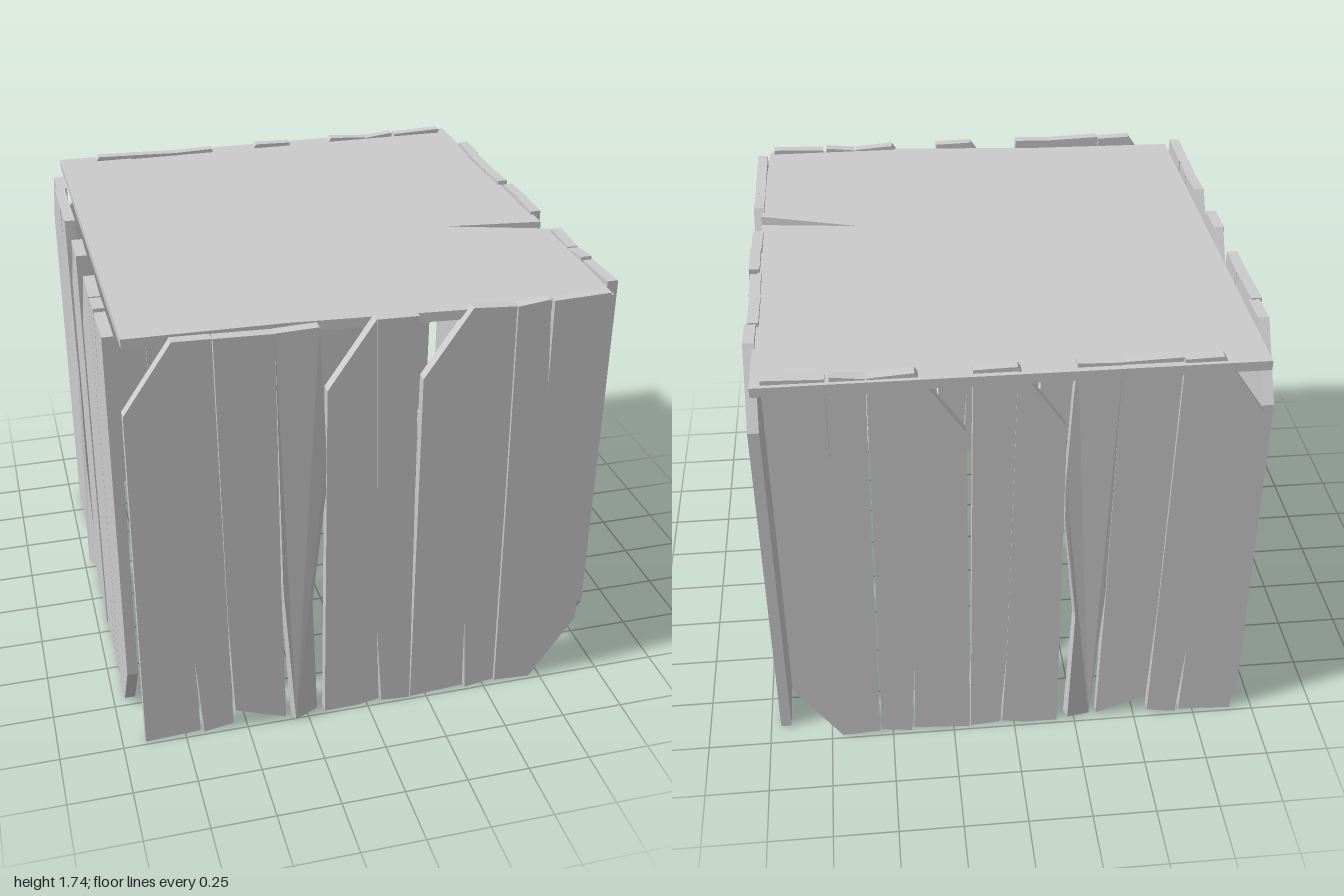
import * as THREE from 'three';

const material = new THREE.MeshStandardMaterial({ color: 0xcccccc, flatShading: true });

// Flat board cut from an outline, centred on its thickness
function board(name, points, thickness) {
  const shape = new THREE.Shape(points.map(([x, y]) => new THREE.Vector2(x, y)));
  const geometry = new THREE.ExtrudeGeometry(shape, { depth: thickness, bevelEnabled: false });
  geometry.translate(0, 0, -thickness / 2);
  const mesh = new THREE.Mesh(geometry, material);
  mesh.name = name;
  return mesh;
}

// Plank outlines (x, y) with their splits and sawn corners; z is the offset from the wall plane
const planks = [
  { name: 'outerPlank', z: 0, points: [
    [-0.91, 0], [-0.69, 0.012], [-0.7, 0.36], [-0.675, 0], [-0.556, 0.02],
    [-0.567, 0.55], [-0.59, 1.738], [-0.73, 1.742], [-0.91, 1.475]] },
  { name: 'slantedPlank', z: 0.01, points: [
    [-0.548, 0.09], [-0.342, 0.015], [-0.357, 0.66], [-0.37, 1.735], [-0.588, 1.742], [-0.567, 0.55]] },
  { name: 'warpedPlank', z: 0.008, twist: 0.3, points: [
    [-0.312, 0.002], [-0.213, 0.018], [-0.235, 0.56], [-0.183, 1.05], [-0.182, 1.22],
    [-0.2, 1.62], [-0.21, 1.74], [-0.37, 1.735], [-0.355, 0.66]] },
  { name: 'middlePlank', z: 0, points: [
    [-0.178, 0], [-0.04, 0.002], [0.05, 0.018], [0.033, 0.37], [0.02, 0.9], [0, 1.742], [-0.178, 1.478]] },
  { name: 'narrowPlank', z: 0.004, points: [
    [0.06, 0.01], [0.18, 0], [0.168, 0.9], [0.157, 1.738], [0, 1.742], [0.02, 0.9], [0.033, 0.37]] },
  { name: 'splitPlank', z: 0, points: [
    [0.185, 0], [0.41, 0.015], [0.402, 0.37], [0.423, 0], [0.546, 0.018],
    [0.537, 0.9], [0.525, 1.73], [0.36, 1.742], [0.182, 1.478]] },
  { name: 'endPlank', z: 0, points: [
    [0.553, 0.01], [0.705, 0], [0.89, 0.27], [0.89, 1.742], [0.67, 1.735],
    [0.674, 1.38], [0.655, 1.742], [0.53, 1.728], [0.543, 0.9]] },
];

// Turns a plank progressively about its long axis towards the foot
function twistFoot(geometry, angle, centreX) {
  const p = geometry.attributes.position;
  for (let i = 0; i < p.count; i++) {
    const a = angle * Math.max(0, 1 - p.getY(i) / 1.2);
    const x = p.getX(i) - centreX, z = p.getZ(i);
    p.setXYZ(i, centreX + x * Math.cos(a) + z * Math.sin(a), p.getY(i), z * Math.cos(a) - x * Math.sin(a));
  }
  geometry.computeVertexNormals();
}

function wall(name, squareMiddle = false) {
  const group = new THREE.Group();
  group.name = name;
  for (const { name: plankName, z, twist, points } of planks) {
    // One wall keeps a square top on its middle plank
    const outline = squareMiddle && plankName === 'middlePlank'
      ? [...points.slice(0, -1), [-0.17, 1.738], [-0.165, 1.5], [-0.176, 1.3]] : points;
    const mesh = board(plankName, outline, 0.042);
    if (twist) twistFoot(mesh.geometry, twist, -0.26);
    mesh.position.z = z;
    group.add(mesh);
  }
  return group;
}

export function createModel() {
  const model = new THREE.Group();
  model.name = 'plankCrate';

  // Four walls: opposite walls face the same way
  const front = wall('frontWall');
  front.position.z = 0.964;
  const back = wall('backWall');
  back.position.z = -0.963;
  const right = wall('rightWall', true);
  right.position.x = 0.939;
  const left = wall('leftWall');
  left.position.x = -0.933;
  left.rotation.y = right.rotation.y = -Math.PI / 2;

  // Roof slab with a wedge split in one side and a worn front edge
  const roof = board('roof', [
    [-0.9, -1], [0.928, -1], [0.925, 0.238], [0.53, 0.19], [0.93, 0.315],
    [0.91, 0.965], [0.36, 0.955], [-0.3, 0.9], [-0.89, 0.885]], 0.038);
  roof.rotation.x = Math.PI / 2;
  roof.position.y = 1.705;

  model.add(front, back, left, right, roof);
  return model;
}
